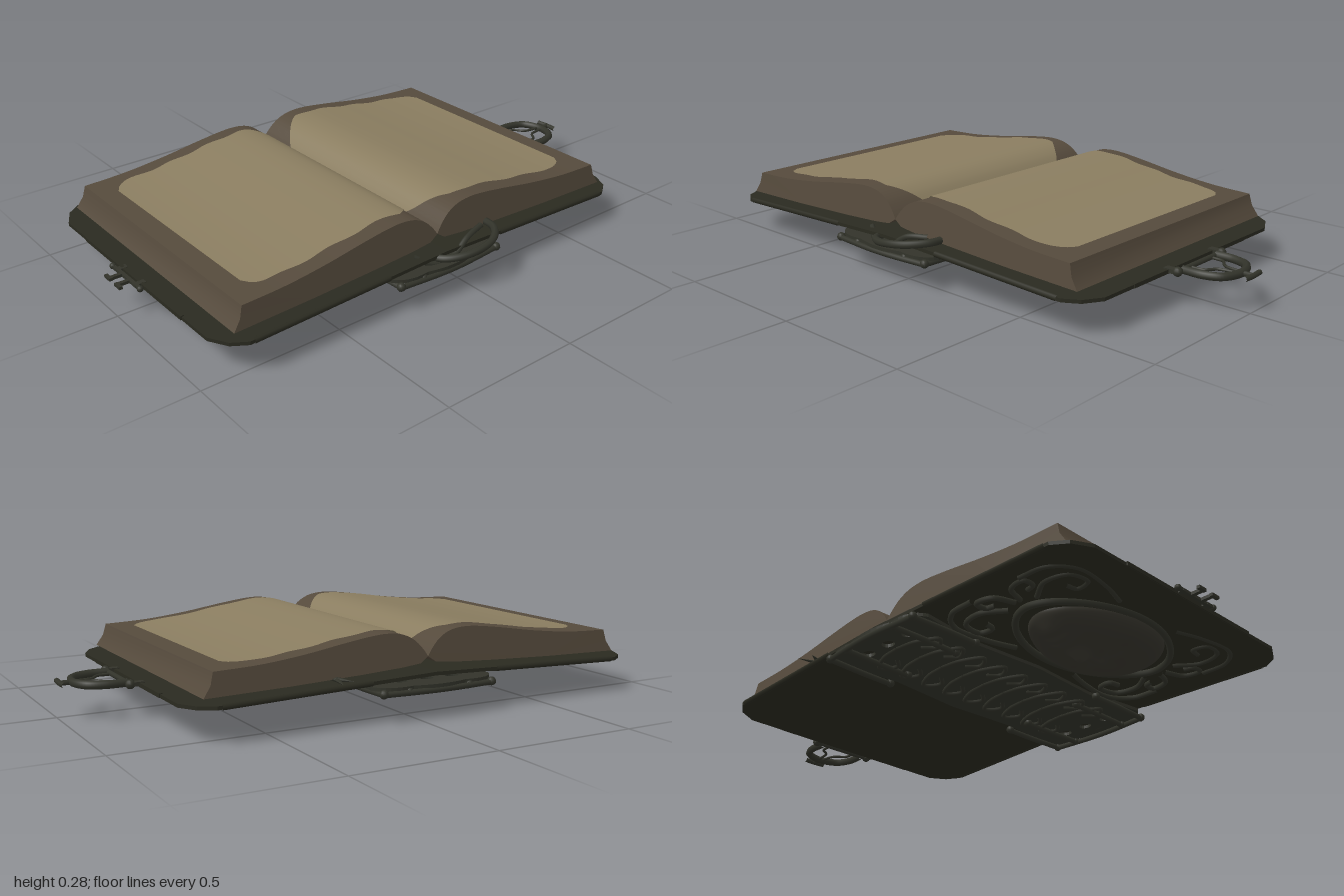
import * as THREE from 'three';
import { toCreasedNormals } from 'three/addons/utils/BufferGeometryUtils.js';

const V2 = (x, y) => new THREE.Vector2(x, y);
const V3 = (p) => new THREE.Vector3(...p);
const CX = -0.08; // spine line
const CZ = -0.018; // middle of the book in z

export function createModel() {
  const book = new THREE.Group();
  book.name = 'openBook';
  const mat = (name, color, side = THREE.FrontSide) => {
    const m = new THREE.MeshStandardMaterial({ color, side });
    m.name = name;
    return m;
  };
  const paper = mat('agedPaper', 0x8a7d60, THREE.DoubleSide);
  const edge = mat('brownPageEdge', 0x554a3c);
  const leather = mat('darkLeather', 0x2a2a20);
  const metal = mat('darkMetal', 0x32332a);
  const mask = mat('maskMetal', 0x38362e);

  const add = (name, geo, material, parent = book) => {
    const m = new THREE.Mesh(geo, material);
    m.name = name;
    parent.add(m);
    return m;
  };
  const box = (name, w, h, d, x, y, z, material = metal) =>
    add(name, new THREE.BoxGeometry(w, h, d), material).position.set(x, y, z);
  const tube = (name, pts, r, material = metal, closed = false) =>
    add(name, new THREE.TubeGeometry(new THREE.CatmullRomCurve3(pts.map(V3), closed), pts.length * 7, r, 7, closed), material);
  const ball = (name, r, x, y, z) =>
    add(name, new THREE.SphereGeometry(r, 12, 8), metal).position.set(x, y, z);
  const coverY = (x) => 0.143 - 0.027 * Math.abs(x - CX) / 0.85;

  // Curve of the open pages, as distance from the spine and height
  const top = new THREE.SplineCurve([
    V2(0, 0.185), V2(0.02, 0.213), V2(0.05, 0.242), V2(0.09, 0.262), V2(0.14, 0.27), V2(0.2, 0.268),
    V2(0.3, 0.255), V2(0.45, 0.232), V2(0.6, 0.216), V2(0.755, 0.21),
  ]).getPoints(90);
  const under = [V2(0.765, 0.17), V2(0.79, 0.133), V2(0.5, 0.14), V2(0.25, 0.15), V2(0.1, 0.158), V2(0.03, 0.165)];

  for (const s of [-1, 1]) {
    const side = s > 0 ? 'left' : 'right';

    // Page block, its ends leaning in towards the top
    const section = new THREE.Shape([...top, ...under].map((p) => V2(CX + s * p.x, p.y)));
    const block = new THREE.ExtrudeGeometry(section, { depth: 1, bevelEnabled: false });
    const bp = block.attributes.position;
    for (let i = 0; i < bp.count; i++) {
      const half = 0.505 - 0.015 * (bp.getY(i) - 0.135) / 0.135;
      bp.setZ(i, CZ + (bp.getZ(i) - 0.5) * 2 * half);
    }
    add(side + 'PageBlock', toCreasedNormals(block, 0.5), edge);

    // Pale middle of the page with a worn outline
    const pos = [], idx = [];
    const cols = top.filter((p) => p.x > 0.006 && p.x < 0.69);
    cols.forEach((p, i) => {
      const inner = Math.min(1, p.x / 0.11);
      const outer = Math.max(0, (p.x - 0.61) / 0.08);
      const h = 0.3 + 0.135 * Math.sqrt(inner) - 0.075 * (1 - Math.sqrt(Math.max(0, 1 - outer * outer)));
      const x = CX + s * p.x, y = p.y + 0.004;
      pos.push(x, y, CZ - h + 0.005 * Math.sin(p.x * 41 + s));
      pos.push(x, y, CZ + h + 0.005 * Math.sin(p.x * 33 + 2 * s));
      if (i) {
        const a = 2 * i - 2;
        if (s > 0) idx.push(a, a + 1, a + 3, a, a + 3, a + 2);
        else idx.push(a, a + 3, a + 1, a, a + 2, a + 3);
      }
    });
    const page = new THREE.BufferGeometry();
    page.setAttribute('position', new THREE.Float32BufferAttribute(pos, 3));
    page.setIndex(idx);
    page.computeVertexNormals();
    add(side + 'PageSurface', page, paper);

    // Cover board with clipped corners, sloping down from the spine
    const outline = [[0, -0.55], [0.765, -0.55], [0.815, -0.515], [0.85, -0.45], [0.85, 0.45], [0.815, 0.515], [0.765, 0.55], [0, 0.55]];
    const board = new THREE.ExtrudeGeometry(
      new THREE.Shape(outline.map(([d, z]) => V2(CX + s * d, CZ + z))), { depth: 0.012, bevelEnabled: false });
    board.rotateX(Math.PI / 2);
    const cp = board.attributes.position;
    for (let i = 0; i < cp.count; i++) cp.setY(i, cp.getY(i) + coverY(cp.getX(i)));
    add(side + 'Cover', toCreasedNormals(board, 0.4), leather);

    // Raised rims along the cover edges
    for (const e of [-1, 1]) {
      const rim = [0.24, 0.5, 0.75].map((d) => [CX + s * d, coverY(CX + s * d) - 0.005, CZ + e * 0.546]);
      tube(side + 'CoverRim', rim, 0.01, leather);
    }
    box(side + 'OuterRim', 0.012, 0.014, 0.62, CX + s * 0.848, 0.112, CZ, leather);
  }

  // Spine plate with scalloped ends and pierced holes
  const plate = new THREE.Shape();
  plate.moveTo(-0.23, -0.52);
  plate.quadraticCurveTo(-0.2, -0.585, -0.1, -0.57);
  plate.quadraticCurveTo(0, -0.6, 0.1, -0.57);
  plate.quadraticCurveTo(0.2, -0.585, 0.23, -0.52);
  plate.lineTo(0.2, -0.28); plate.lineTo(0.22, 0); plate.lineTo(0.2, 0.28); plate.lineTo(0.23, 0.52);
  plate.quadraticCurveTo(0.2, 0.585, 0.1, 0.57);
  plate.quadraticCurveTo(0, 0.6, -0.1, 0.57);
  plate.quadraticCurveTo(-0.2, 0.585, -0.23, 0.52);
  plate.lineTo(-0.2, 0.28); plate.lineTo(-0.22, 0); plate.lineTo(-0.2, -0.28);
  for (const z of [-0.49, 0.49]) for (const x of [-0.1, 0, 0.1]) {
    plate.holes.push(new THREE.Path().absellipse(x, z, 0.025, 0.02, 0, Math.PI * 2));
  }
  const plateGeo = new THREE.ExtrudeGeometry(plate, { depth: 0.012, bevelEnabled: false, curveSegments: 8 });
  plateGeo.rotateX(Math.PI / 2);
  add('spinePlate', plateGeo, metal).position.set(CX, 0.112, CZ);

  // Rods, knobs and scrolls on the spine plate
  for (const e of [-1, 1]) {
    for (const x of [-0.215, -0.12, 0.12, 0.215]) {
      tube('spineRod', [[CX + x, 0.092, CZ + e * 0.3], [CX + x, 0.092, CZ + e * 0.42], [CX + x * 0.97, 0.092, CZ + e * 0.56]], 0.01);
      ball('rodKnob', 0.015, CX + x, 0.094, CZ + e * 0.3);
      ball('rodKnob', 0.015, CX + x * 0.97, 0.094, CZ + e * 0.565);
    }
    tube('spineEndBar', [[CX - 0.22, 0.092, CZ + e * 0.565], [CX, 0.092, CZ + e * 0.58], [CX + 0.22, 0.092, CZ + e * 0.565]], 0.01);
  }
  for (let i = 0; i < 9; i++) {
    const z = CZ - 0.4 + i * 0.1;
    for (const s of [-1, 1]) {
      tube('spineScroll', [[CX, 0.1, z - 0.05], [CX + s * 0.08, 0.098, z - 0.04], [CX + s * 0.15, 0.098, z],
        [CX + s * 0.1, 0.098, z + 0.035], [CX + s * 0.06, 0.098, z]], 0.008);
    }
  }

  // Face mask under the right cover: a dome pushed out into brow, nose, lips and chin
  const FX = -0.56, FZ = -0.035;
  const bumps = [ // x, z, width, length, height
    [0, -0.115, 0.028, 0.028, 0.036], [0, -0.04, 0.02, 0.06, 0.014], [0, -0.185, 0.05, 0.014, 0.018],
    [0, -0.212, 0.04, 0.012, 0.016], [0, -0.26, 0.045, 0.025, 0.026],
    [-0.075, -0.02, 0.035, 0.02, -0.02], [0.075, -0.02, 0.035, 0.02, -0.02],
    [-0.075, -0.022, 0.022, 0.011, 0.012], [0.075, -0.022, 0.022, 0.011, 0.012],
  ];
  const face = new THREE.SphereGeometry(1, 64, 40, 0, Math.PI * 2, Math.PI / 2, Math.PI / 2);
  const fp = face.attributes.position;
  for (let i = 0; i < fp.count; i++) {
    const u = fp.getX(i), w = fp.getZ(i), drop = -fp.getY(i);
    const x = u * 0.185 * (1 + 0.12 * w), z = FZ + w * 0.262;
    let depth = 0.078 * drop;
    for (const [bx, bz, sx, sz, h] of bumps) {
      depth += Math.min(1, drop * 1.6) * h * Math.exp(-(((x - bx) / sx) ** 2) - ((z - bz) / sz) ** 2);
    }
    fp.setXYZ(i, FX + x, 0.112 - depth, z);
  }
  face.computeVertexNormals();
  add('faceMask', face, mask);

  // Pointed oval frame and scrollwork around the mask
  const frame = [];
  for (let i = 0; i < 20; i++) {
    const a = i / 20 * Math.PI * 2, c = Math.cos(a);
    frame.push([FX + 0.205 * Math.sin(a), 0.107, FZ + 0.29 * c + 0.03 * c ** 5]);
  }
  tube('maskFrame', frame, 0.012, metal, true);
  for (const sx of [-1, 1]) for (const sz of [-1, 1]) {
    const curl = (pts) => tube('coverScroll', pts.map(([x, z]) => [FX + sx * x, 0.111, FZ + sz * z]), 0.009);
    curl([[0.06, 0.34], [0.14, 0.39], [0.22, 0.37], [0.23, 0.3], [0.18, 0.29], [0.17, 0.33]]);
    curl([[0.1, 0.46], [0.2, 0.45], [0.26, 0.38], [0.25, 0.24], [0.22, 0.14]]);
    curl([[0.01, 0.36], [0.04, 0.43], [0.1, 0.44], [0.1, 0.4], [0.07, 0.39]]);
  }

  // Ribbon ring at the front of the spine and a loop above the plate
  tube('spineRing', [[-0.13, 0.125, 0.47], [-0.11, 0.13, 0.54], [-0.06, 0.138, 0.58], [0.01, 0.148, 0.596],
    [0.08, 0.155, 0.58], [0.13, 0.16, 0.53], [0.14, 0.16, 0.47]], 0.013);
  tube('spineLoop', [[-0.19, 0.14, 0.49], [-0.13, 0.11, 0.525], [-0.05, 0.115, 0.53], [0.02, 0.155, 0.52], [0.1, 0.165, 0.5]], 0.01);

  // Leaf-shaped ribbon tips at the back
  for (const [x, turn, len] of [[0.275, 0.25, 0.11], [0.25, -0.45, 0.07]]) {
    const leaf = add('ribbonTip', new THREE.ConeGeometry(0.018, len, 6), metal);
    leaf.scale.z = 0.4;
    leaf.rotation.set(-Math.PI / 2, 0, -turn);
    leaf.position.set(x, 0.146, -0.555);
  }

  // Clasp loop on the left cover
  const Y = 0.115;
  tube('claspBar', [[0.8, Y, -0.15], [0.8, Y, -0.02], [0.8, Y, 0.11]], 0.009);
  for (const e of [-1, 1]) {
    ball('claspKnob', 0.016, 0.8, Y, CZ + e * 0.125);
    box('claspHinge', 0.05, 0.014, 0.025, 0.78, Y, CZ + e * 0.125);
    tube('claspCurl', [[0.81, Y, CZ + e * 0.06], [0.85, Y, CZ + e * 0.055], [0.88, Y, CZ + e * 0.02], [0.95, Y, CZ + e * 0.008]], 0.005);
  }
  tube('claspLoop', [[0.8, Y, CZ - 0.095], [0.87, Y, CZ - 0.095], [0.925, Y, CZ - 0.07], [0.95, Y, CZ],
    [0.925, Y, CZ + 0.07], [0.87, Y, CZ + 0.095], [0.8, Y, CZ + 0.095]], 0.014);
  tube('claspTip', [[0.95, Y, CZ], [0.97, Y, CZ], [0.988, Y, CZ]], 0.009);
  tube('claspCrossbar', [[0.988, Y, CZ - 0.045], [0.991, Y, CZ], [0.988, Y, CZ + 0.045]], 0.009);

  // Catch on the right cover
  box('catchPlate', 0.012, 0.01, 0.18, -0.948, Y, CZ);
  for (const e of [-1, 1]) {
    ball('catchKnob', 0.011, -0.948, Y, CZ + e * 0.09);
    box('catchArm', 0.05, 0.01, 0.014, -0.968, Y, CZ + e * 0.025);
    box('catchHook', 0.012, 0.01, 0.035, -0.993, Y, CZ + e * 0.033);
    box('catchFoot', 0.04, 0.008, 0.02, -0.935, Y, CZ + e * 0.06);
  }

  return book;
}
